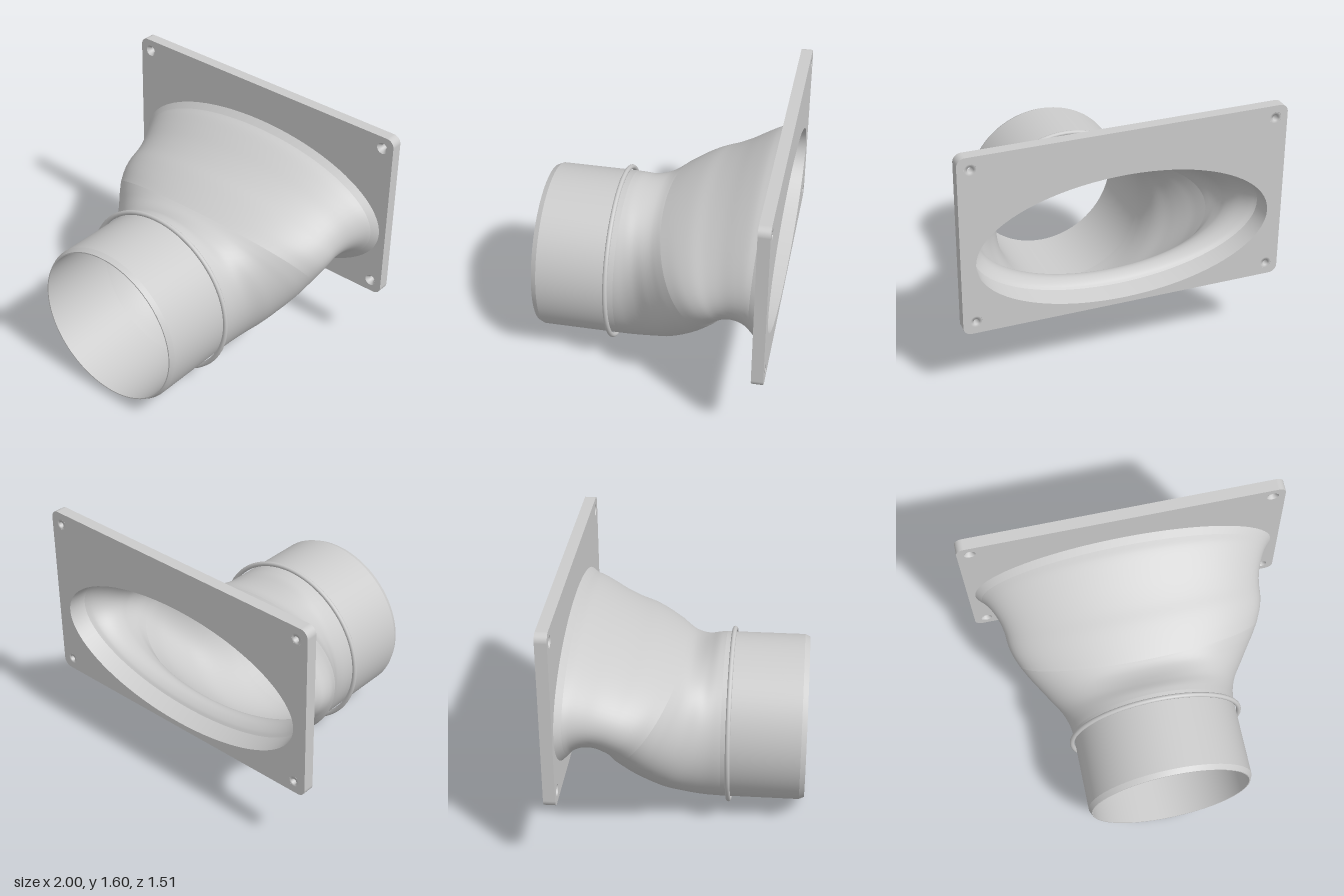
import * as THREE from 'three';

const material = new THREE.MeshStandardMaterial({ color: 0xcccccc, side: THREE.DoubleSide });
const SIDES = 80;
const WALL = 0.022;
const PIPE_Y = 0.555;

// A tilted elliptical section: half width, top point (z, y), bottom point (z, y).
const section = (rx, tz, ty, bz, by) => ({ rx, tz, ty, bz, by });
const upright = (rx, ry, y, z) => section(rx, z, y + ry, z, y - ry);

// Shrinks a section by the wall thickness.
function inset(s) {
  const dz = s.tz - s.bz, dy = s.ty - s.by, k = WALL / Math.hypot(dz, dy);
  return section(s.rx - WALL, s.tz - dz * k, s.ty - dy * k, s.bz + dz * k, s.by + dy * k);
}

// Adds smooth in-between sections.
function refine(list, count) {
  const top = new THREE.CatmullRomCurve3(list.map((s) => new THREE.Vector3(s.rx, s.ty, s.tz)));
  const bottom = new THREE.CatmullRomCurve3(list.map((s) => new THREE.Vector3(0, s.by, s.bz)));
  return Array.from({ length: count + 1 }, (_, i) => {
    const t = top.getPoint(i / count), b = bottom.getPoint(i / count);
    return section(t.x, t.z, t.y, b.z, b.y);
  });
}

// Skins a row of sections; inward turns the faces toward the axis.
function loft(name, sections, inward = false) {
  const positions = [], index = [];
  sections.forEach((s, j) => {
    for (let i = 0; i < SIDES; i++) {
      const a = (i / SIDES) * Math.PI * 2, v = (Math.sin(a) + 1) / 2;
      positions.push(s.rx * Math.cos(a), s.by + (s.ty - s.by) * v, s.bz + (s.tz - s.bz) * v);
      if (j === sections.length - 1) continue;
      const n = (i + 1) % SIDES;
      const p = j * SIDES + i, q = j * SIDES + n, r = p + SIDES, t = q + SIDES;
      if (inward) index.push(p, q, r, q, t, r);
      else index.push(p, r, q, q, r, t);
    }
  });
  const geometry = new THREE.BufferGeometry();
  geometry.setAttribute('position', new THREE.Float32BufferAttribute(positions, 3));
  geometry.setIndex(index);
  geometry.computeVertexNormals();
  const mesh = new THREE.Mesh(geometry, material);
  mesh.name = name;
  return mesh;
}

function createPlate() {
  const group = new THREE.Group();
  group.name = 'mountingPlate';
  const x = 1, y0 = 0.46, y1 = 1.595, r = 0.05, back = -0.757, depth = 0.072;
  const shape = new THREE.Shape();
  shape.absarc(x - r, y0 + r, r, -Math.PI / 2, 0);
  shape.absarc(x - r, y1 - r, r, 0, Math.PI / 2);
  shape.absarc(-x + r, y1 - r, r, Math.PI / 2, Math.PI);
  shape.absarc(-x + r, y0 + r, r, Math.PI, Math.PI * 1.5);
  shape.closePath();

  const opening = new THREE.Path();
  opening.absellipse(0, 0.907, 0.91, 0.41, 0, Math.PI * 2, true);
  shape.holes.push(opening);

  // Countersunk screw holes
  const seat = new THREE.LatheGeometry(
    [[0.036, 0], [0.018, 0], [0.018, 0.05], [0.036, depth]].map((p) => new THREE.Vector2(...p)), 24);
  seat.rotateX(Math.PI / 2);
  for (const sx of [-0.922, 0.922]) {
    for (const sy of [0.538, 1.518]) {
      const hole = new THREE.Path();
      hole.absarc(sx, sy, 0.036, 0, Math.PI * 2, true);
      shape.holes.push(hole);
      const screwSeat = new THREE.Mesh(seat, material);
      screwSeat.name = 'screwSeat';
      screwSeat.position.set(sx, sy, back);
      group.add(screwSeat);
    }
  }
  const plate = new THREE.Mesh(
    new THREE.ExtrudeGeometry(shape, { depth, bevelEnabled: false, curveSegments: 40 }), material);
  plate.name = 'plate';
  plate.position.z = back;
  group.add(plate);
  return group;
}

export function createModel() {
  const model = new THREE.Group();
  model.name = 'ductAdapter';

  // Round inlet pipe
  const pipe = [upright(0.52, 0.52, PIPE_Y, 0.725), upright(0.52, 0.52, PIPE_Y, 0.24)];
  // Lower bend, leaning up until the crease
  const bend = refine([
    pipe[1],
    section(0.53, 0.2, 1.067, 0.12, 0.046),
    section(0.56, 0.15, 1.045, 0, 0.08),
    section(0.62, 0.1, 1.027, -0.13, 0.142),
    section(0.675, 0.06, 1.02, -0.25, 0.228),
    section(0.725, 0.03, 1.022, -0.36, 0.323),
    section(0.77, 0, 1.03, -0.475, 0.44),
  ], 24);
  // Upper bend, turning level again while it widens
  const flare = refine([
    bend[24],
    section(0.80, -0.1, 1.08, -0.495, 0.5),
    section(0.815, -0.2, 1.125, -0.52, 0.53),
    section(0.82, -0.3, 1.16, -0.545, 0.547),
    section(0.835, -0.4, 1.205, -0.575, 0.552),
    section(0.862, -0.5, 1.26, -0.6, 0.545),
    section(0.895, -0.59, 1.305, -0.63, 0.525),
    section(0.92, -0.645, 1.32, -0.645, 0.505),
  ], 28);

  // Pipe mouth: flat lip and chamfer
  const mouth = upright(0.505, 0.505, PIPE_Y, 0.757);
  const bore = upright(0.52 - WALL, 0.52 - WALL, PIPE_Y, 0.757);
  model.add(
    loft('pipeLip', [bore, mouth]),
    loft('pipeChamfer', [mouth, pipe[0]]),
    loft('inletPipe', pipe),
    loft('lowerBend', bend),
    loft('upperBend', flare),
    loft('flangeCollar', [flare[28], upright(0.955, 0.447, 0.907, -0.685)]),
    // Inner walls
    loft('innerPipe', [bore, inset(pipe[1])], true),
    loft('innerLowerBend', bend.map(inset), true),
    loft('innerUpperBend', flare.map(inset), true),
    loft('outletThroat', [inset(flare[28]), upright(0.91, 0.41, 0.907, -0.757)], true),
  );

  // Stop ring around the pipe
  const ring = new THREE.Mesh(new THREE.TorusGeometry(0.54, 0.015, 12, SIDES), material);
  ring.name = 'stopRing';
  ring.position.set(0, PIPE_Y, 0.285);
  model.add(ring, createPlate());
  return model;
}
